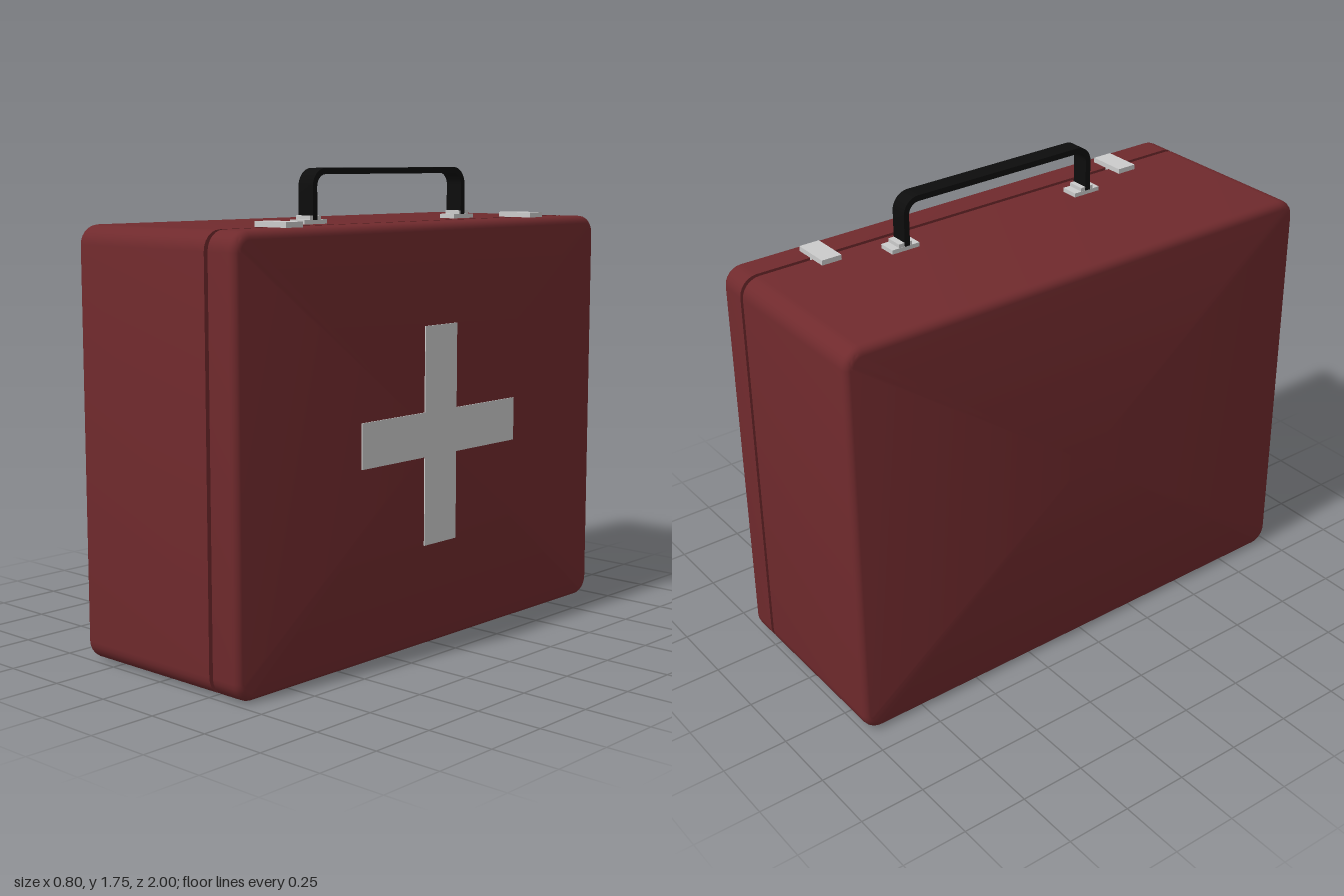
import * as THREE from 'three';
import { toCreasedNormals } from 'three/addons/utils/BufferGeometryUtils.js';

const red = new THREE.MeshStandardMaterial({ color: 0x702a2d });
const black = new THREE.MeshStandardMaterial({ color: 0x0d0d0d });
const grey = new THREE.MeshStandardMaterial({ color: 0xcccccc });

const HEIGHT = 1.56, HALF = 1, CORNER = 0.07, EDGE = 0.03;

// Rounded-rectangle outline of the case at one x, shrunk by inset
function outline(x, inset, steps = 6) {
  const r = CORNER - inset, points = [];
  const u = HALF - CORNER, v = HEIGHT / 2 - CORNER;
  [[1, 1], [-1, 1], [-1, -1], [1, -1]].forEach(([su, sv], k) => {
    for (let i = 0; i <= steps; i++) {
      const a = (k + i / steps) * Math.PI / 2;
      points.push([x, HEIGHT / 2 + sv * v + r * Math.sin(a), -(su * u + r * Math.cos(a))]);
    }
  });
  return points;
}

// Closed solid through outlines given as [x, inset], in order of rising x
function loft(stations) {
  const loops = stations.map(([x, inset]) => outline(x, inset));
  const n = loops[0].length, last = loops.length - 1;
  const positions = loops.flat(2), index = [];
  positions.push(stations[0][0], HEIGHT / 2, 0, stations[last][0], HEIGHT / 2, 0);
  const startCentre = n * loops.length, endCentre = startCentre + 1;
  for (let j = 0; j < n; j++) {
    const k = (j + 1) % n;
    for (let i = 0; i < last; i++) {
      const a = i * n + j, b = i * n + k;
      index.push(a, b, b + n, a, b + n, a + n);
    }
    index.push(startCentre, k, j, endCentre, last * n + j, last * n + k);
  }
  const geometry = new THREE.BufferGeometry();
  geometry.setAttribute('position', new THREE.Float32BufferAttribute(positions, 3));
  geometry.setIndex(index);
  return toCreasedNormals(geometry, 0.6);
}

// Quarter-round edge stations; side is -1 for the -x end, +1 for the +x end
function roundEdge(x, side, steps = 5) {
  const list = [];
  for (let i = 0; i <= steps; i++) {
    const a = i / steps * Math.PI / 2;
    list.push([x - side * EDGE * (1 - Math.cos(a)), EDGE * (1 - Math.sin(a))]);
  }
  return side < 0 ? list : list.reverse();
}

// Extrudes a shape drawn in (-z, y) along +x
function extrudeX(shape, x, depth) {
  const geometry = new THREE.ExtrudeGeometry(shape, { depth, bevelEnabled: false, curveSegments: 8 });
  geometry.rotateY(Math.PI / 2).translate(x, 0, 0);
  return toCreasedNormals(geometry, 0.6);
}

function gripShape() {
  const shape = new THREE.Shape();
  const w = 0.422, top = 1.755, base = 1.575, t = 0.022, r = 0.065;
  shape.moveTo(-w, base);
  shape.lineTo(-w + t, base);
  shape.lineTo(-w + t, top - r);
  shape.absarc(-w + r, top - r, r - t, Math.PI, Math.PI / 2, true);
  shape.lineTo(w - r, top - t);
  shape.absarc(w - r, top - r, r - t, Math.PI / 2, 0, true);
  shape.lineTo(w - t, base);
  shape.lineTo(w, base);
  shape.lineTo(w, top - r);
  shape.absarc(w - r, top - r, r, 0, Math.PI / 2, false);
  shape.lineTo(-w + r, top);
  shape.absarc(-w + r, top - r, r, Math.PI / 2, Math.PI, false);
  shape.closePath();
  return shape;
}

function crossShape() {
  const [l, a, b, r] = [-0.4, -0.06, 0.12, 0.47];
  const [bottom, c, d, top] = [0.38, 0.71, 0.875, 1.19];
  return new THREE.Shape([
    [a, bottom], [b, bottom], [b, c], [r, c], [r, d], [b, d],
    [b, top], [a, top], [a, d], [l, d], [l, c], [a, c],
  ].map(([u, v]) => new THREE.Vector2(u, v)));
}

export function createModel() {
  const model = new THREE.Group();
  model.name = 'firstAidCase';
  const add = (name, geometry, material) => {
    const mesh = new THREE.Mesh(geometry, material);
    mesh.name = name;
    model.add(mesh);
    return mesh;
  };
  const addBox = (name, size, x, y, z) =>
    add(name, new THREE.BoxGeometry(...size), grey).position.set(x, y, z);

  // Case: deep shell, recessed seam and shallow lid
  add('caseBody', loft([...roundEdge(-0.398, -1), [0.252, 0]]), red);
  add('seam', loft([[0.24, 0.025], [0.28, 0.025]]), red);
  add('lid', loft([[0.27, 0], ...roundEdge(0.395, 1)]), red);

  // Cross panel on the lid
  add('cross', extrudeX(crossShape(), 0.385, 0.014), grey);

  // Carrying handle
  add('handleGrip', extrudeX(gripShape(), 0.115, 0.07), black);

  // Stepped handle mounts and latches bridging the seam
  for (const side of [-1, 1]) {
    const mountZ = side * 0.413 - 0.005;
    addBox('handleMountPlate', [0.07, 0.025, 0.115], 0.15, 1.5635, mountZ);
    addBox('handleMountCollar', [0.068, 0.03, 0.055], 0.15, 1.575, mountZ);
    addBox('latch', [0.15, 0.03, 0.08], 0.265, 1.564, side * 0.674 - 0.003);
  }
  return model;
}
